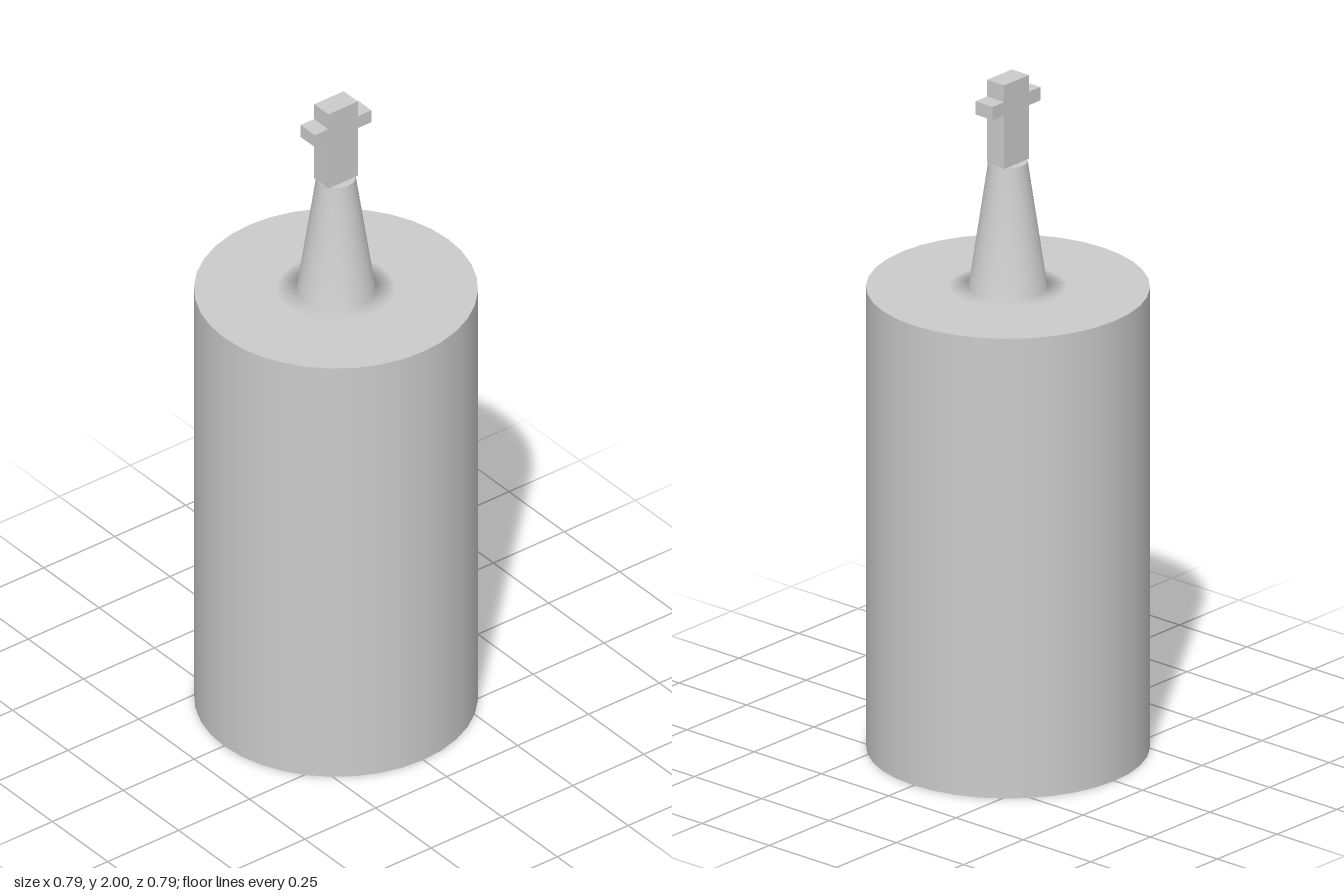
import * as THREE from 'three';

const SIDES = 36;
const material = new THREE.MeshStandardMaterial({ color: 0xcccccc });

function add(parent, name, geometry, y = 0) {
  const mesh = new THREE.Mesh(geometry, material);
  mesh.name = name;
  mesh.position.y = y;
  parent.add(mesh);
  return mesh;
}

export function createModel() {
  const group = new THREE.Group();
  group.name = 'crossTopPiece';
  const bodyR = 0.395, bodyH = 1.375, spireTop = 1.75, spireR = 0.055;

  // Drum: wall and underside
  add(group, 'bodyWall', new THREE.CylinderGeometry(bodyR, bodyR, bodyH, SIDES, 1, true), bodyH / 2);
  add(group, 'bodyBase', new THREE.CircleGeometry(bodyR, SIDES).rotateX(Math.PI / 2));

  // Flat shoulder running smoothly into the tapered spire
  const profile = [[bodyR, bodyH], [0.165, bodyH], [0.11, bodyH], [spireR, spireTop]];
  add(group, 'shoulderAndSpire', new THREE.LatheGeometry(profile.map(p => new THREE.Vector2(...p)), SIDES));
  add(group, 'spireCap', new THREE.CircleGeometry(spireR, SIDES).rotateX(-Math.PI / 2), spireTop);

  // Cross: right half of the outline, mirrored
  const half = [[0.052, 0], [0.052, 0.16], [0.1, 0.16], [0.1, 0.2], [0.052, 0.2], [0.052, 0.25]];
  const outline = [...half, ...half.map(([x, y]) => [-x, y]).reverse()];
  const shape = new THREE.Shape(outline.map(p => new THREE.Vector2(...p)));
  const depth = 0.064;
  const cross = new THREE.ExtrudeGeometry(shape, { depth, bevelEnabled: false });
  add(group, 'cross', cross.translate(0, 0, -depth / 2), spireTop);

  return group;
}
